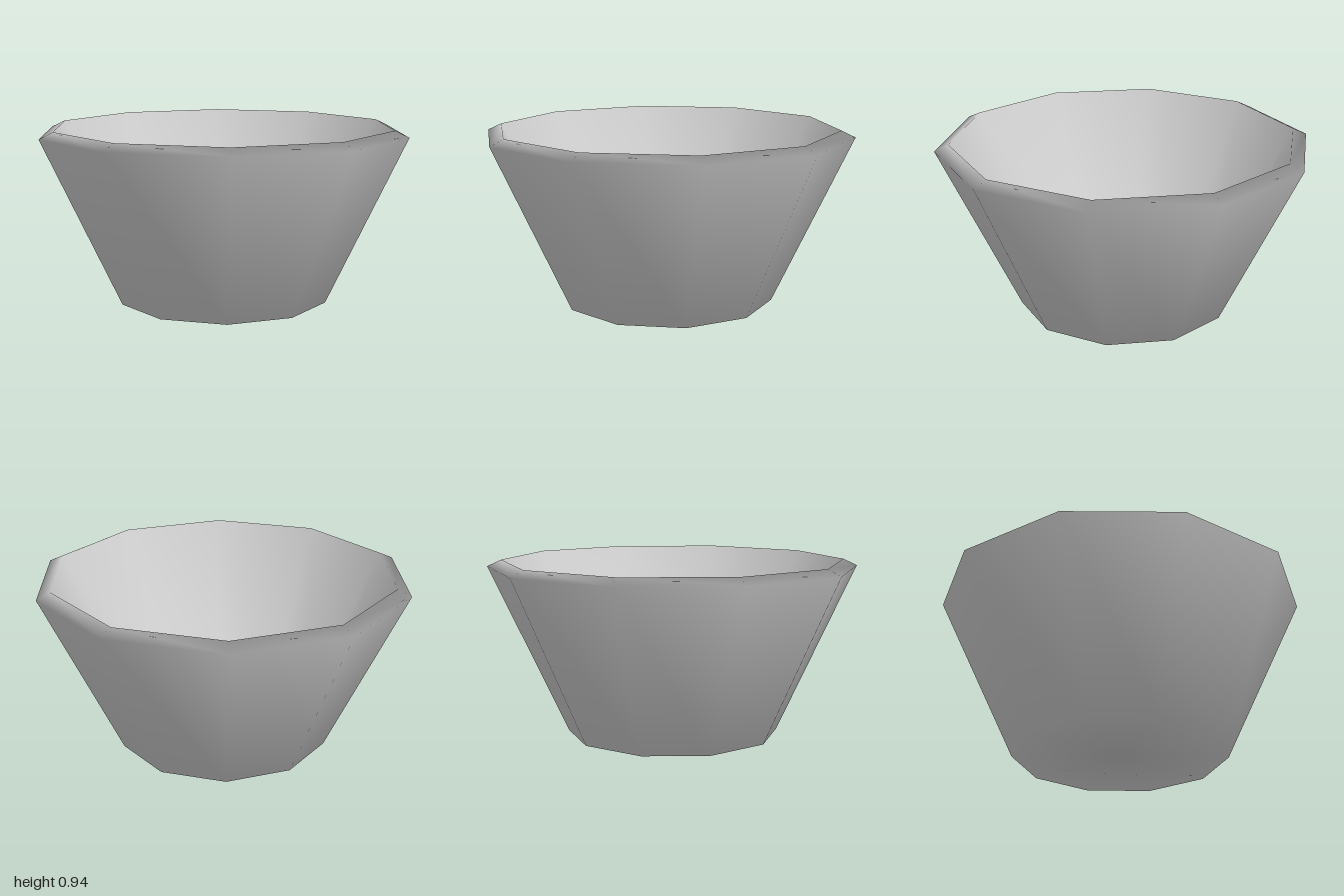
import * as THREE from 'three';
import { mergeVertices } from 'three/addons/utils/BufferGeometryUtils.js';

export function createModel() {
  const model = new THREE.Group();
  model.name = 'bowl';
  const grey = new THREE.MeshStandardMaterial({ color: 0xcccccc });
  grey.name = 'light grey';

  // Profile: underside, flared wall, bevelled rim, inner wall, inner floor
  const profile = [
    [0, 0], [0.575, 0], [1, 0.91], [0.925, 0.945], [0.5, 0.07], [0, 0.07],
  ].map(([r, y]) => new THREE.Vector2(r, y));

  // Ten-sided body with normals shared across all edges
  let geometry = new THREE.LatheGeometry(profile, 10);
  geometry.deleteAttribute('normal');
  geometry.deleteAttribute('uv');
  geometry = mergeVertices(geometry, 1e-4);
  geometry.computeVertexNormals();

  const body = new THREE.Mesh(geometry, grey);
  body.name = 'bowlBody';
  model.add(body);
  return model;
}
